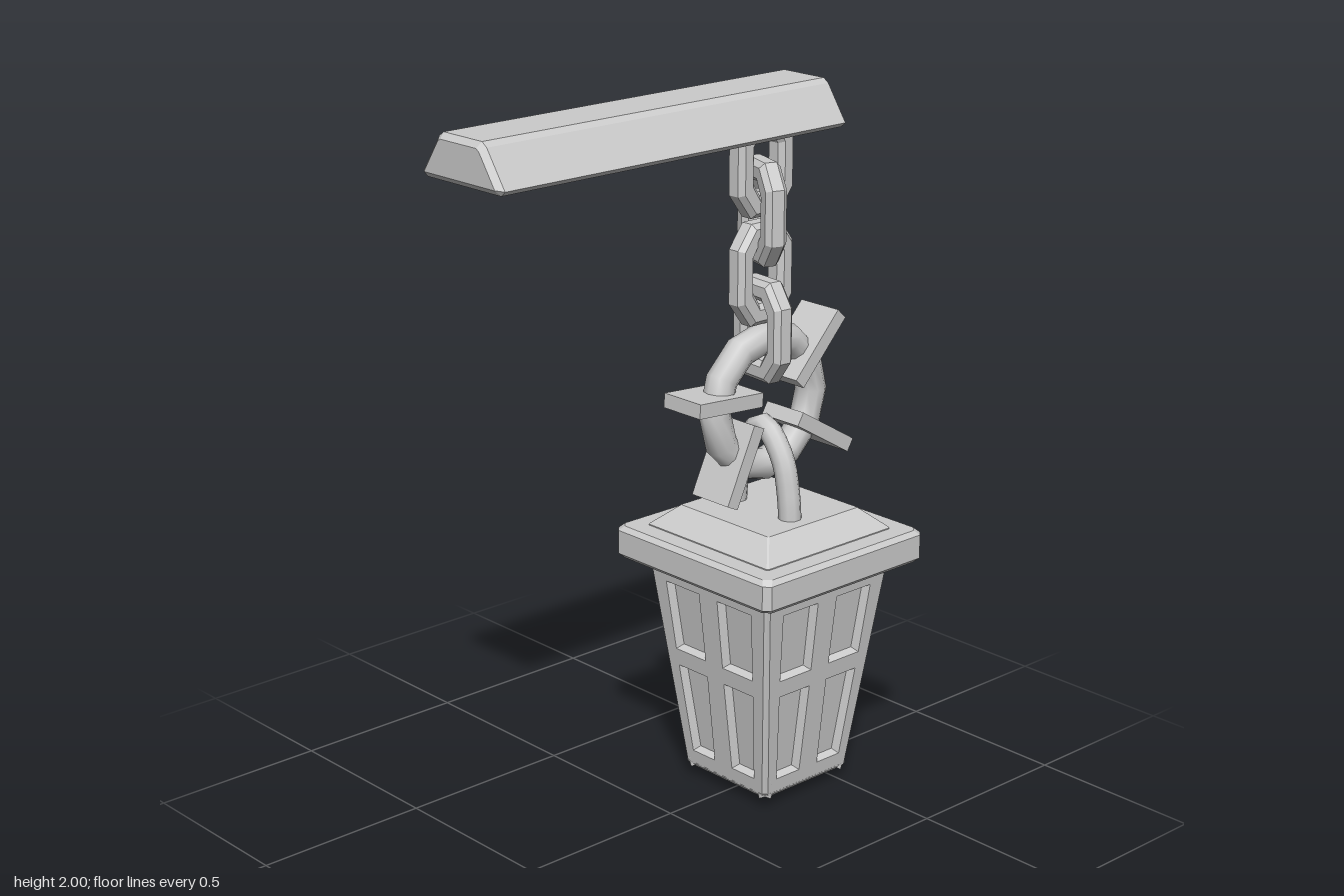
import * as THREE from 'three';

const flat = new THREE.MeshStandardMaterial({ color: 0xcccccc, flatShading: true });
const smooth = new THREE.MeshStandardMaterial({ color: 0xcccccc });

function add(parent, name, geometry, material = flat) {
  const mesh = new THREE.Mesh(geometry, material);
  mesh.name = name;
  parent.add(mesh);
  return mesh;
}

const points = (list) => list.map(([x, y]) => new THREE.Vector2(x, y));

// Square solid from [halfWidth, y] pairs, with its upright corners cut by c
function squareLoft(profile, c) {
  const geo = new THREE.LatheGeometry(points(profile), 8, Math.PI / 8);
  const p = geo.attributes.position;
  for (let i = 0; i < p.count; i++) {
    const x = p.getX(i), z = p.getZ(i), r = Math.hypot(x, z), s = Math.max(0, r - c);
    const wideX = Math.abs(x) > Math.abs(z);
    p.setX(i, Math.sign(x) * (wideX ? r : s));
    p.setZ(i, Math.sign(z) * (wideX ? s : r));
  }
  geo.computeVertexNormals();
  return geo;
}

// Lantern body tapers from top to bottom
const Y0 = 0.04, Y1 = 0.67;
const halfWidth = (y) => 0.162 + (y - Y0) * (0.238 - 0.162) / (Y1 - Y0);

// One leaning wall with four bevelled window recesses
function wallGeometry() {
  const edge = 0.012, thick = 0.02, depth = 0.004;
  const b = halfWidth(Y0) - edge, t = halfWidth(Y1) - edge;
  const shape = new THREE.Shape(points([[-b, Y0], [b, Y0], [t, Y1], [-t, Y1]]));
  const windows = [
    { y0: 0.085, y1: 0.35, in0: 0.035, in1: 0.033, out0: 0.123, out1: 0.148 },
    { y0: 0.4, y1: 0.605, in0: 0.034, in1: 0.036, out0: 0.153, out1: 0.168 },
  ];
  for (const w of windows) for (const s of [-1, 1]) {
    shape.holes.push(new THREE.Path(points([
      [s * w.in0, w.y0], [s * w.out0, w.y0], [s * w.out1, w.y1], [s * w.in1, w.y1],
    ])));
  }
  const geo = new THREE.ExtrudeGeometry(shape, {
    depth, bevelEnabled: true, bevelSegments: 1, bevelSize: edge, bevelThickness: thick,
  });
  // Lean the wall along the taper
  const p = geo.attributes.position;
  for (let i = 0; i < p.count; i++) {
    p.setZ(i, halfWidth(p.getY(i)) + p.getZ(i) - depth - thick);
  }
  geo.computeVertexNormals();
  return geo;
}

// Chain link: a long ring with cut corners
function linkGeometry() {
  const outline = (w, h, cx, cy) => points([
    [w, -h + cy], [w, h - cy], [w - cx, h], [-w + cx, h],
    [-w, h - cy], [-w, -h + cy], [-w + cx, -h], [w - cx, -h],
  ]);
  const bevel = 0.014, depth = 0.034;
  const shape = new THREE.Shape(outline(0.1, 0.14, 0.048, 0.065));
  shape.holes.push(new THREE.Path(outline(0.044, 0.082, 0.022, 0.034)));
  const geo = new THREE.ExtrudeGeometry(shape, {
    depth, bevelEnabled: true, bevelSegments: 1,
    bevelSize: bevel, bevelThickness: bevel, bevelOffset: -bevel,
  });
  return geo.translate(0, 0, -depth / 2);
}

export function createModel() {
  const model = new THREE.Group();
  model.name = 'hangingLantern';

  // Overhead beam with sloping sides
  const half = [[0.14, 1.88], [0.155, 1.893], [0.09, 1.988], [0.073, 2.0]];
  const section = [...half, ...half.map(([x, y]) => [-x, y]).reverse()];
  const bevel = 0.015, length = 1.17;
  const beam = new THREE.ExtrudeGeometry(new THREE.Shape(points(section)), {
    depth: length - 2 * bevel, bevelEnabled: true, bevelSegments: 1,
    bevelSize: bevel, bevelThickness: bevel, bevelOffset: -bevel,
  });
  beam.translate(0, 0, bevel).rotateY(Math.PI / 2).translate(-0.68, 0, 0);
  add(model, 'beam', beam);

  // Chain of alternating links: [x, y, turn]
  const chain = new THREE.Group();
  chain.name = 'chain';
  model.add(chain);
  const link = linkGeometry();
  const quarter = Math.PI / 2;
  [[0.322, 1.785, 0], [0.326, 1.655, quarter - 0.33], [0.324, 1.49, 0],
    [0.334, 1.33, quarter - 0.1]].forEach(([x, y, turn]) => {
    const mesh = add(chain, 'chainLink', link);
    mesh.position.set(x, y, 0);
    mesh.rotation.y = turn;
  });

  // Ring between chain and lantern
  add(model, 'ring', new THREE.TorusGeometry(0.181, 0.044, 10, 12), smooth)
    .position.set(0.341, 1.125, 0);

  // Flat plates set across the ring: [x, y, degrees]
  const plate = new THREE.BoxGeometry(0.23, 0.04, 0.14);
  [[0.488, 1.257, 47], [0.156, 1.167, -4], [0.21, 0.981, 65], [0.513, 1.013, -31]]
    .forEach(([x, y, deg]) => {
      const mesh = add(model, 'ringPlate', plate);
      mesh.position.set(x, y, 0);
      mesh.rotation.z = THREE.MathUtils.degToRad(deg);
    });

  // Arched handle
  const arch = [[-0.108, 0.79], [-0.1, 0.88], [-0.074, 0.98], [0, 1.058],
    [0.074, 0.98], [0.1, 0.88], [0.108, 0.79]];
  const path = new THREE.CatmullRomCurve3(arch.map(([z, y]) => new THREE.Vector3(0.342, y, z)));
  add(model, 'handle', new THREE.TubeGeometry(path, 20, 0.032, 10), smooth);

  // Lantern
  const lantern = new THREE.Group();
  lantern.name = 'lantern';
  lantern.position.x = 0.368;
  model.add(lantern);

  add(lantern, 'roof', squareLoft([[0.236, 0.745], [0.236, 0.757], [0.172, 0.815], [0, 0.815]], 0.004));
  add(lantern, 'eavesPlate', squareLoft([[0, 0.66], [0.29, 0.66], [0.303, 0.673],
    [0.303, 0.741], [0.29, 0.754], [0, 0.754]], 0.018));
  add(lantern, 'panes', squareLoft([[0, Y0], [halfWidth(Y0) - 0.02, Y0],
    [halfWidth(Y1) - 0.02, Y1], [0, Y1]], 0));
  add(lantern, 'base', squareLoft([[0, 0], [0.095, 0], [0.125, 0.028], [0.15, 0.028],
    [0.163, 0.045], [0, 0.045]], 0.01));

  const wall = wallGeometry();
  for (let i = 0; i < 4; i++) add(lantern, 'windowWall', wall).rotation.y = i * quarter;

  return model;
}
